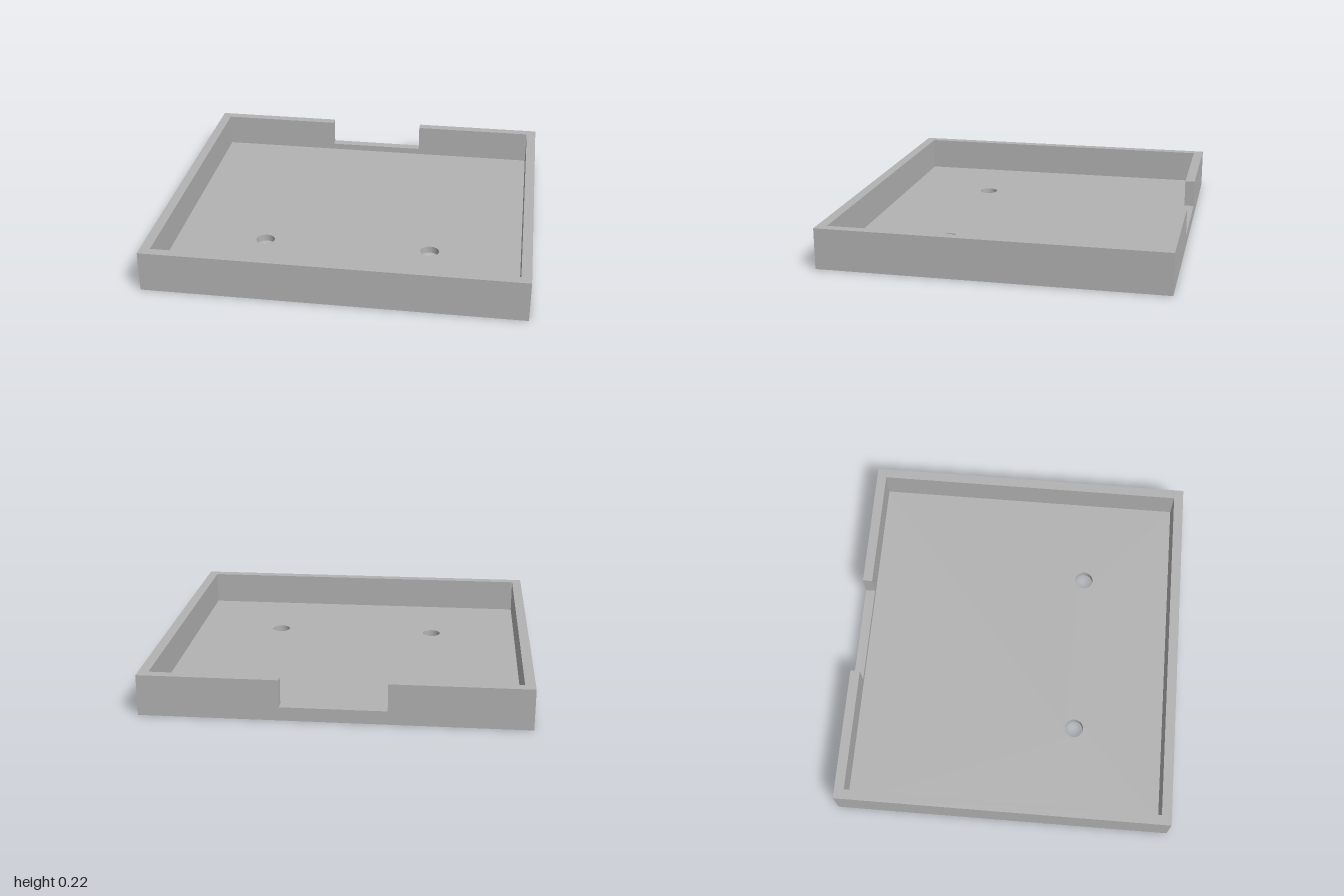
import * as THREE from 'three';

const W = 1, D = 0.909;            // half width and half depth
const T = 0.053;                   // wall thickness
const FLOOR = 0.037, SILL = 0.072, TOP = 0.218;
const NOTCH = 0.274;               // half width of the rear opening

const polygon = (pts) => pts.map(([x, z]) => new THREE.Vector2(x, -z));
const rectangle = (w, d) => polygon([[-w, d], [w, d], [w, -d], [-w, -d]]);

// Extrudes a plan outline between two heights
function slab(name, shape, y0, y1, material) {
  const geo = new THREE.ExtrudeGeometry(shape, { depth: y1 - y0, bevelEnabled: false, curveSegments: 32 });
  geo.rotateX(-Math.PI / 2);
  geo.translate(0, y0, 0);
  const mesh = new THREE.Mesh(geo, material);
  mesh.name = name;
  return mesh;
}

export function createModel() {
  const tray = new THREE.Group();
  tray.name = 'tray';
  const grey = new THREE.MeshStandardMaterial({ color: 0xb2b2b2 });
  grey.name = 'grey';

  // Floor with two round screw holes
  const floor = new THREE.Shape(rectangle(W, D));
  for (const side of [-1, 1]) {
    floor.holes.push(new THREE.Path().absarc(side * 0.455, -0.362, 0.051, 0, Math.PI * 2, true));
  }
  tray.add(slab('floor', floor, 0, FLOOR, grey));

  // Low closed rim up to the sill of the rear opening
  const rim = new THREE.Shape(rectangle(W, D));
  rim.holes.push(new THREE.Path(rectangle(W - T, D - T).reverse()));
  tray.add(slab('lowerRim', rim, FLOOR, SILL, grey));

  // Upper wall, open at the middle of the back
  const wall = new THREE.Shape(polygon([
    [-NOTCH, -D], [-W, -D], [-W, D], [W, D], [W, -D], [NOTCH, -D],
    [NOTCH, -D + T], [W - T, -D + T], [W - T, D - T],
    [-W + T, D - T], [-W + T, -D + T], [-NOTCH, -D + T],
  ]));
  tray.add(slab('upperWall', wall, SILL, TOP, grey));

  return tray;
}
